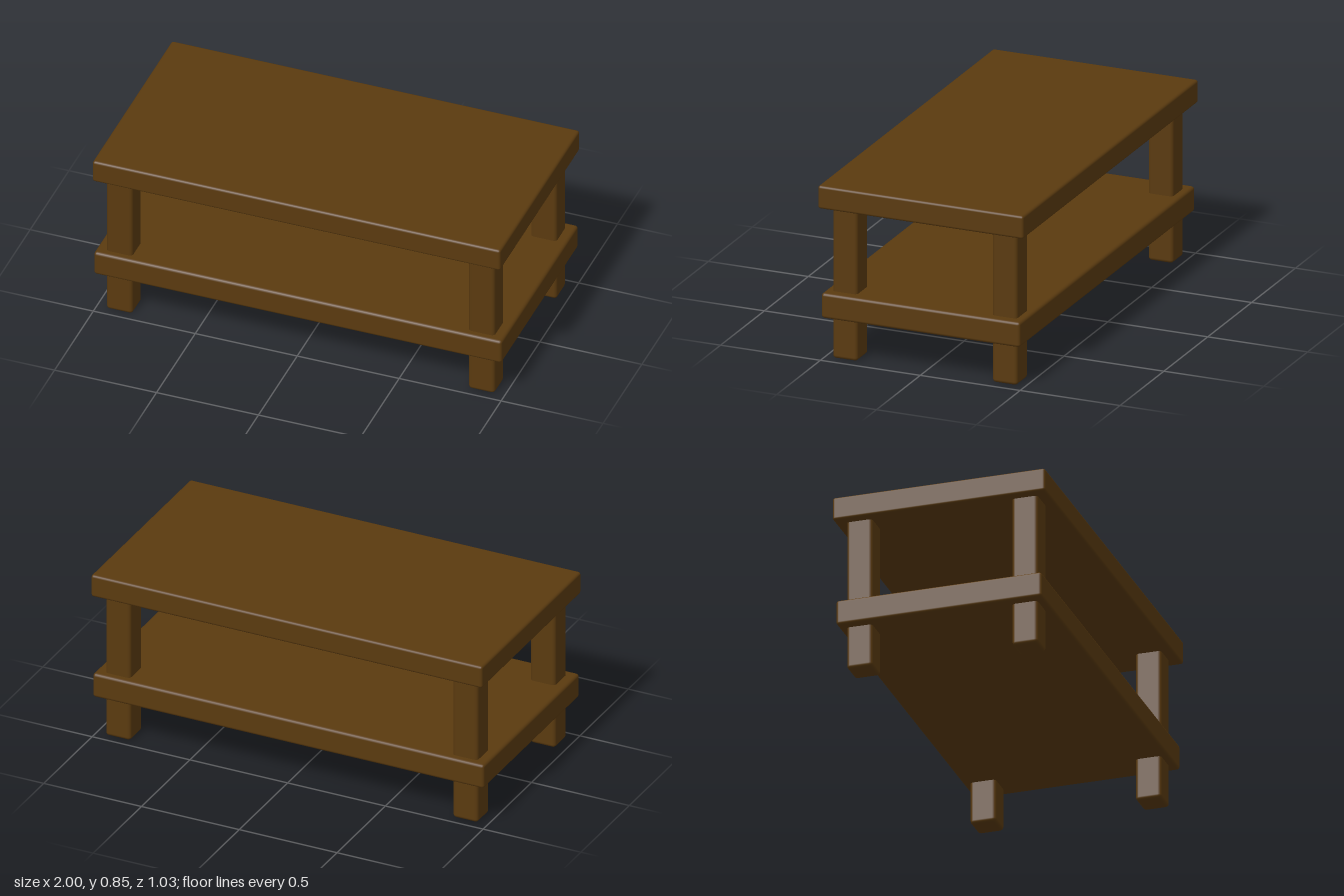
import * as THREE from 'three';
import { RoundedBoxGeometry } from 'three/addons/geometries/RoundedBoxGeometry.js';

export function createModel() {
  const table = new THREE.Group();
  table.name = 'coffeeTable';
  const wood = new THREE.MeshStandardMaterial({ color: 0x5a3a0f });
  wood.name = 'dark brown wood';

  // Softly rounded plank between two corner points
  function plank(name, min, max, radius) {
    const size = max.map((v, i) => v - min[i]);
    const mesh = new THREE.Mesh(new RoundedBoxGeometry(...size, 2, radius), wood);
    mesh.position.set(...max.map((v, i) => (v + min[i]) / 2));
    mesh.name = name;
    table.add(mesh);
  }

  // Table top and the thick lower shelf
  plank('tableTop', [-1, 0.738, -0.514], [1, 0.85, 0.514], 0.012);
  plank('lowerShelf', [-1, 0.206, -0.497], [1, 0.328, 0.497], 0.014);

  // Four square legs running up through the shelf
  for (const sx of [-1, 1]) for (const sz of [-1, 1]) {
    const name = (sz > 0 ? 'front' : 'back') + (sx > 0 ? 'Left' : 'Right') + 'Leg';
    const x = sx * 0.888, z = sz * 0.4;
    plank(name, [x - 0.064, 0, z - 0.062], [x + 0.064, 0.76, z + 0.062], 0.016);
  }
  return table;
}
